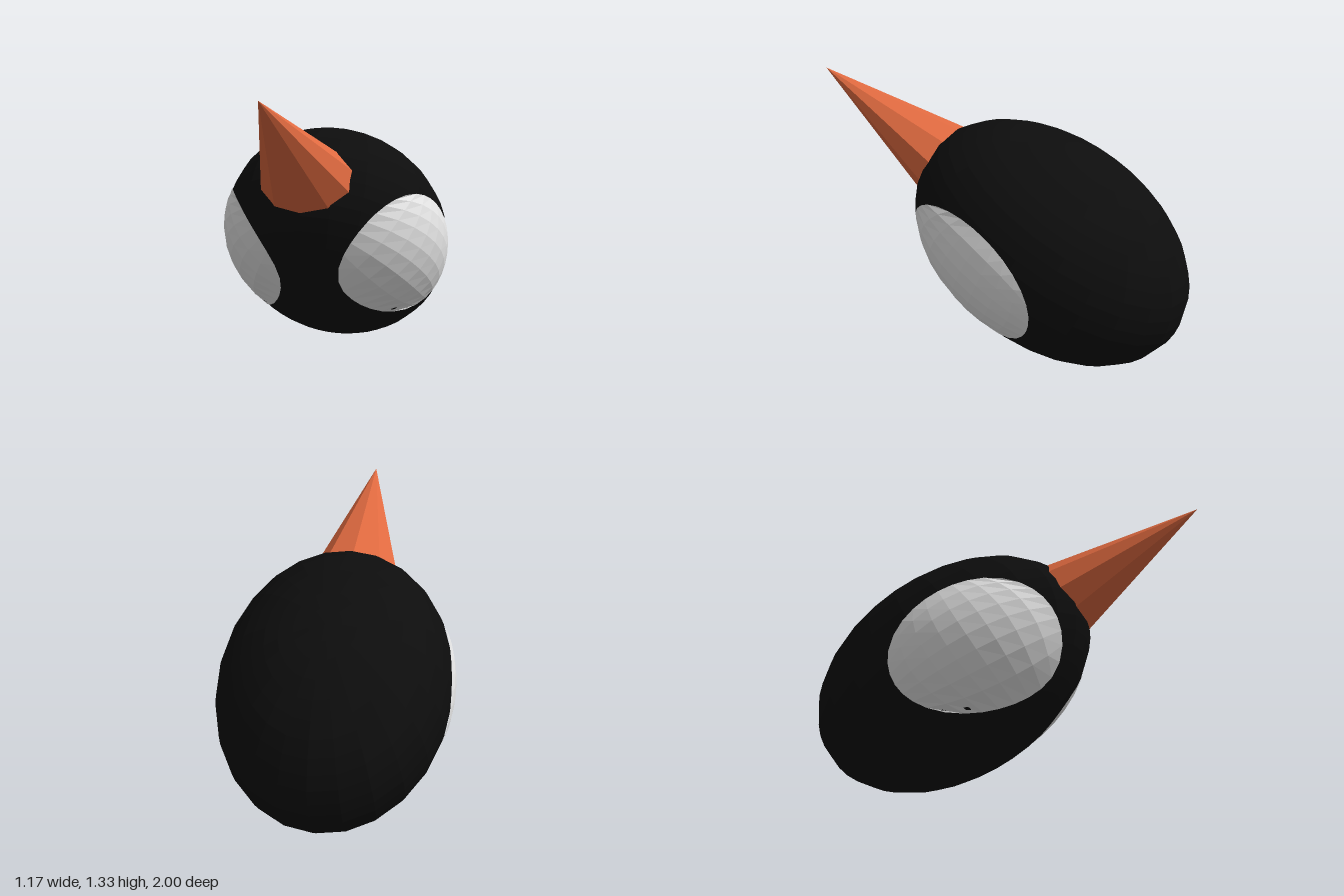
import * as THREE from 'three';

// Body half sizes: across, up, along its long axis
const BODY = new THREE.Vector3(0.575, 0.503, 0.761);

function mat(name, color) {
  const m = new THREE.MeshStandardMaterial({ color });
  m.name = name;
  m.flatShading = true;
  return m;
}

// Oval patch of quads lying on the side of the body, swelling slightly in the middle
function eyeGeometry(side) {
  const N = 8, pos = [], index = [];
  for (let i = 0; i <= N; i++) {
    for (let j = 0; j <= N; j++) {
      // square grid mapped to a disc
      const s = 2 * i / N - 1, t = 2 * j / N - 1;
      const a = s * Math.sqrt(1 - t * t / 2), b = t * Math.sqrt(1 - s * s / 2);
      const z = 0.19 + 0.406 * a, y = -0.168 + 0.28 * b;
      const x = BODY.x * Math.sqrt(Math.max(0, 1 - (z / BODY.z) ** 2 - (y / BODY.y) ** 2));
      const normal = new THREE.Vector3(x / BODY.x ** 2, y / BODY.y ** 2, z / BODY.z ** 2).normalize();
      const p = new THREE.Vector3(x, y, z).addScaledVector(normal, 0.003 + 0.016 * (1 - a * a - b * b));
      pos.push(side * p.x, p.y, p.z);
    }
  }
  for (let i = 0; i < N; i++) {
    for (let j = 0; j < N; j++) {
      const p = i * (N + 1) + j, q = p + N + 1;
      if (side > 0) index.push(p, p + 1, q, p + 1, q + 1, q);
      else index.push(p, q, p + 1, p + 1, q, q + 1);
    }
  }
  const g = new THREE.BufferGeometry();
  g.setAttribute('position', new THREE.Float32BufferAttribute(pos, 3));
  g.setIndex(index);
  g.computeVertexNormals();
  return g;
}

export function createModel() {
  const black = mat('black', 0x0d0d0d);
  const white = mat('white', 0xf0f0f0);
  const orange = mat('orange', 0xe06a40);

  // Whole head, tilted so the beak points up
  const head = new THREE.Group();
  head.name = 'head';
  head.position.set(0, 0.58, -0.295);
  head.rotation.x = -Math.PI / 6;

  const add = (name, geometry, material) => {
    const mesh = new THREE.Mesh(geometry, material);
    mesh.name = name;
    head.add(mesh);
  };

  // Egg-shaped skull
  const skull = new THREE.SphereGeometry(1, 24, 24);
  skull.scale(BODY.x, BODY.y, BODY.z);
  add('skull', skull, black);

  // Ten-sided beak, its open base buried in the skull
  const tip = 1.496, base = 0.55;
  const beak = new THREE.ConeGeometry(1, tip - base, 10, 1);
  beak.rotateX(Math.PI / 2);
  beak.scale(0.272, 0.217, 1);
  beak.translate(0, 0, (tip + base) / 2);
  add('beak', beak, orange);

  // Eye patches
  add('leftEye', eyeGeometry(1), white);
  add('rightEye', eyeGeometry(-1), white);

  const model = new THREE.Group();
  model.name = 'birdHead';
  model.add(head);
  return model;
}
